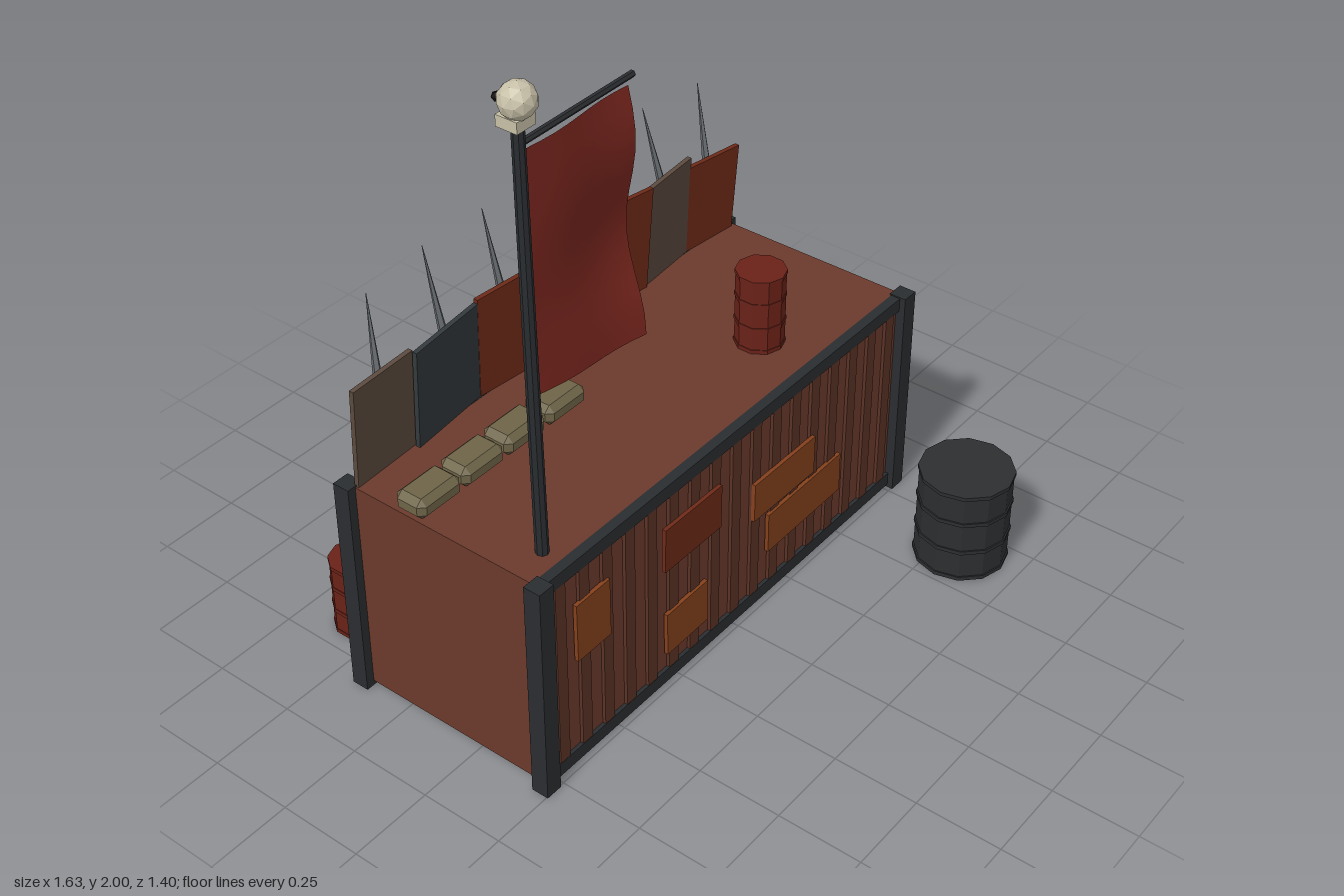
import * as THREE from 'three';
import { ConvexGeometry } from 'three/addons/geometries/ConvexGeometry.js';

const mat = (color, extra = {}) => new THREE.MeshStandardMaterial({ color, flatShading: true, ...extra });
const M = {
  wall: mat(0x6b3a2c), rib: mat(0x5c3327), frame: mat(0x2a2d30), rust: mat(0x6e2a18), orange: mat(0x84401c),
  taupe: mat(0x5c4a3e), slate: mat(0x33393c), yellow: mat(0xb89a20), steel: mat(0x63676b),
  bag: mat(0x6e6448), bone: mat(0xc8c0a8), black: mat(0x15130f), drum: mat(0x2c2e30),
  redDrum: mat(0x6a2218), brownDrum: mat(0x74401c),
  cloth: new THREE.MeshStandardMaterial({ color: 0x7a261e, side: THREE.DoubleSide }),
};

function add(parent, name, geo, material, x = 0, y = 0, z = 0) {
  const m = new THREE.Mesh(geo, material);
  m.name = name;
  m.position.set(x, y, z);
  parent.add(m);
  return m;
}
const box = (w, h, d) => new THREE.BoxGeometry(w, h, d);

function group(parent, name) {
  const g = new THREE.Group();
  g.name = name;
  parent.add(g);
  return g;
}

// Cylinder or cone running from point a to point b
function rod(parent, name, a, b, r0, r1, sides, material) {
  const A = new THREE.Vector3(...a), B = new THREE.Vector3(...b), d = B.clone().sub(A);
  const m = add(parent, name, new THREE.CylinderGeometry(r1, r0, d.length(), sides), material);
  m.position.copy(A).add(B).multiplyScalar(0.5);
  m.quaternion.setFromUnitVectors(new THREE.Vector3(0, 1, 0), d.normalize());
  return m;
}

// Box with every edge cut off, used for the sandbags
function chamferedBag(l, h, w, c) {
  const pts = [];
  for (const x of [-1, 1]) for (const y of [-1, 1]) for (const z of [-1, 1]) {
    const [a, b, d] = [l / 2, h / 2, w / 2];
    pts.push(new THREE.Vector3(x * a, y * (b - c), z * (d - c)),
      new THREE.Vector3(x * (a - c), y * b, z * (d - c)),
      new THREE.Vector3(x * (a - c), y * (b - c), z * d));
  }
  return new ConvexGeometry(pts);
}

// Drum centred on its own origin, with two raised hoops
function drum(parent, name, r, h, sides, material) {
  const g = group(parent, name);
  add(g, 'drumBody', new THREE.CylinderGeometry(r * 0.97, r * 0.97, h, sides), material);
  for (const y of [-0.5 * h + 0.006, -h / 6, h / 6, 0.5 * h - 0.006])
    add(g, 'drumHoop', new THREE.CylinderGeometry(r, r, 0.012, sides), material, 0, y);
  return g;
}

function buildContainer(root) {
  const g = group(root, 'container');
  const zc = -0.09;
  add(g, 'containerBody', box(1.58, 0.665, 0.63), M.wall, 0, 0.3475, zc);
  for (const s of [-1, 1]) {
    for (const x of [-0.79, 0.79])
      add(g, 'cornerPost', box(0.052, 0.685, 0.052), M.frame, x, 0.3425, zc + s * 0.318);
    for (const y of [0.03, 0.66])
      add(g, 'longRail', box(1.54, 0.042, 0.03), M.frame, 0, y, zc + s * 0.311);
    // Corrugation ribs
    for (let i = 0; i < 17; i++)
      add(g, 'wallRib', box(0.038, 0.59, 0.022), M.rib, -0.72 + i * 0.09, 0.345, zc + s * 0.314);
    // Riveted patch plates
    const patches = [[-0.605, 0.45, 0.13, 0.185, 0], [-0.2, 0.48, 0.24, 0.14, 1], [-0.22, 0.185, 0.175, 0.14, 0],
      [0.21, 0.387, 0.28, 0.125, 0], [0.315, 0.235, 0.345, 0.13, 0]];
    patches.forEach(([x, y, w, h, dark], i) => {
      const p = add(g, 'patchPlate', box(w, h, 0.012), dark ? M.rust : M.orange, x, y, zc + s * (0.327 + (i % 2) * 0.003));
      p.rotation.z = [0.01, -0.01, 0.015, -0.01, 0.01][i];
    });
  }
  // Door locking rods
  for (const z of [0.045, -0.215])
    rod(g, 'doorRod', [0.798, 0.055, z], [0.798, 0.63, z], 0.008, 0.008, 6, M.steel);
}

function buildBarricade(root) {
  const g = group(root, 'barricade');
  // centre x, width, top y, roll, yaw, material, spike tip x, spike tip y
  const panels = [
    [-0.675, 0.22, 0.985, 0.0, 0.04, M.taupe, -0.63, 1.16],
    [-0.43, 0.28, 0.985, 0.0, 0.1, M.slate, -0.425, 1.195],
    [-0.205, 0.21, 1.0, 0.02, -0.1, M.rust, -0.2, 1.195],
    [0.01, 0.21, 0.93, 0.03, 0.12, M.taupe, 0.05, 1.12],
    [0.25, 0.26, 1.015, -0.04, -0.12, M.rust, 0.243, 1.21],
    [0.475, 0.23, 1.0, 0.0, 0.08, M.taupe, 0.465, 1.19],
    [0.68, 0.21, 0.962, -0.05, -0.1, M.rust, 0.715, 1.16],
  ];
  panels.forEach(([x, w, top, roll, yaw, material, tipX, tipY]) => {
    const p = add(g, 'scrapPanel', box(w, top - 0.67, 0.014), material, x, (top + 0.67) / 2, -0.38);
    p.rotation.set(0.04, yaw, roll);
    rod(g, 'spike', [x, top - 0.06, -0.385], [tipX, tipY, -0.452], 0.014, 0.001, 5, M.steel);
  });
  // Small plates on the outer side
  for (const [x, y, w, h, material] of [[0.48, 0.83, 0.17, 0.08, M.yellow],
    [-0.5, 0.815, 0.17, 0.08, M.yellow], [-0.03, 0.82, 0.18, 0.09, M.slate]])
    add(g, 'smallPlate', box(w, h, 0.012), material, x, y, -0.398).rotation.z = 0.03;
}

function buildFlag(root) {
  const g = group(root, 'flag');
  rod(g, 'flagPole', [-0.685, 0.67, 0.15], [-0.71, 1.885, 0.15], 0.018, 0.016, 8, M.frame);
  rod(g, 'crossbar', [-0.71, 1.833, 0.138], [-0.315, 1.846, 0.148], 0.009, 0.009, 6, M.frame);
  // Cloth rippling towards its free lower corner
  const cloth = new THREE.PlaneGeometry(0.355, 0.67, 8, 12);
  const p = cloth.attributes.position;
  for (let i = 0; i < p.count; i++) {
    const u = p.getX(i) / 0.355 + 0.5, v = 0.5 - p.getY(i) / 0.67;
    p.setZ(i, u * (0.03 * v * v + 0.02 * Math.sin(v * 8.2)) + 0.006 * Math.sin(u * 6));
  }
  cloth.computeVertexNormals();
  add(g, 'cloth', cloth, M.cloth, -0.505, 1.485, 0.146);
  // Skull finial facing backwards
  add(g, 'skull', new THREE.IcosahedronGeometry(0.047, 1), M.bone, -0.707, 1.953, 0.15);
  add(g, 'jaw', box(0.062, 0.03, 0.062), M.bone, -0.707, 1.903, 0.142);
  for (const s of [-1, 1])
    add(g, 'eyeSocket', new THREE.IcosahedronGeometry(0.013, 0), M.black, -0.707 + s * 0.018, 1.955, 0.107);
}

function buildSandbags(root) {
  const g = group(root, 'sandbags');
  const geo = chamferedBag(0.155, 0.062, 0.1, 0.018);
  for (let i = 0; i < 4; i++) {
    add(g, 'roofSandbag', geo, M.bag, -0.715 + i * 0.162, 0.712, -0.197);
    add(g, 'lowerSandbag', geo, M.bag, 0.07 + i * 0.16, 0.04, -0.53).rotation.y = 0.04 + i * 0.05;
    add(g, 'upperSandbag', geo, M.bag, 0.15 + i * 0.161, 0.106, -0.54).rotation.y = 0.03 + i * 0.08;
  }
}

function buildDrums(root) {
  drum(root, 'frontDrum', 0.138, 0.3, 12, M.drum).position.set(0.655, 0.15, 0.56);
  drum(root, 'roofDrum', 0.072, 0.235, 10, M.redDrum).position.set(0.36, 0.7975, 0.04);
  drum(root, 'standingDrum', 0.077, 0.235, 10, M.redDrum).position.set(-0.63, 0.1175, -0.585);
  const lying = drum(root, 'lyingDrum', 0.077, 0.235, 12, M.brownDrum);
  lying.position.set(-0.445, 0.077, -0.625);
  lying.rotation.z = Math.PI / 2;
}

// Loose coil of wire at the back wall
function buildWire(root) {
  const pts = [];
  for (let i = 0; i <= 8; i++) {
    const a = i * Math.PI / 3;
    pts.push(new THREE.Vector3(-0.005 + 0.05 * Math.cos(a), 0.25 + i * 0.008, -0.485 + 0.05 * Math.sin(a)));
  }
  add(root, 'wireCoil', new THREE.TubeGeometry(new THREE.CatmullRomCurve3(pts), 16, 0.005, 5), M.steel);
}

export function createModel() {
  const root = new THREE.Group();
  root.name = 'containerOutpost';
  buildContainer(root);
  buildBarricade(root);
  buildFlag(root);
  buildSandbags(root);
  buildDrums(root);
  buildWire(root);
  return root;
}
